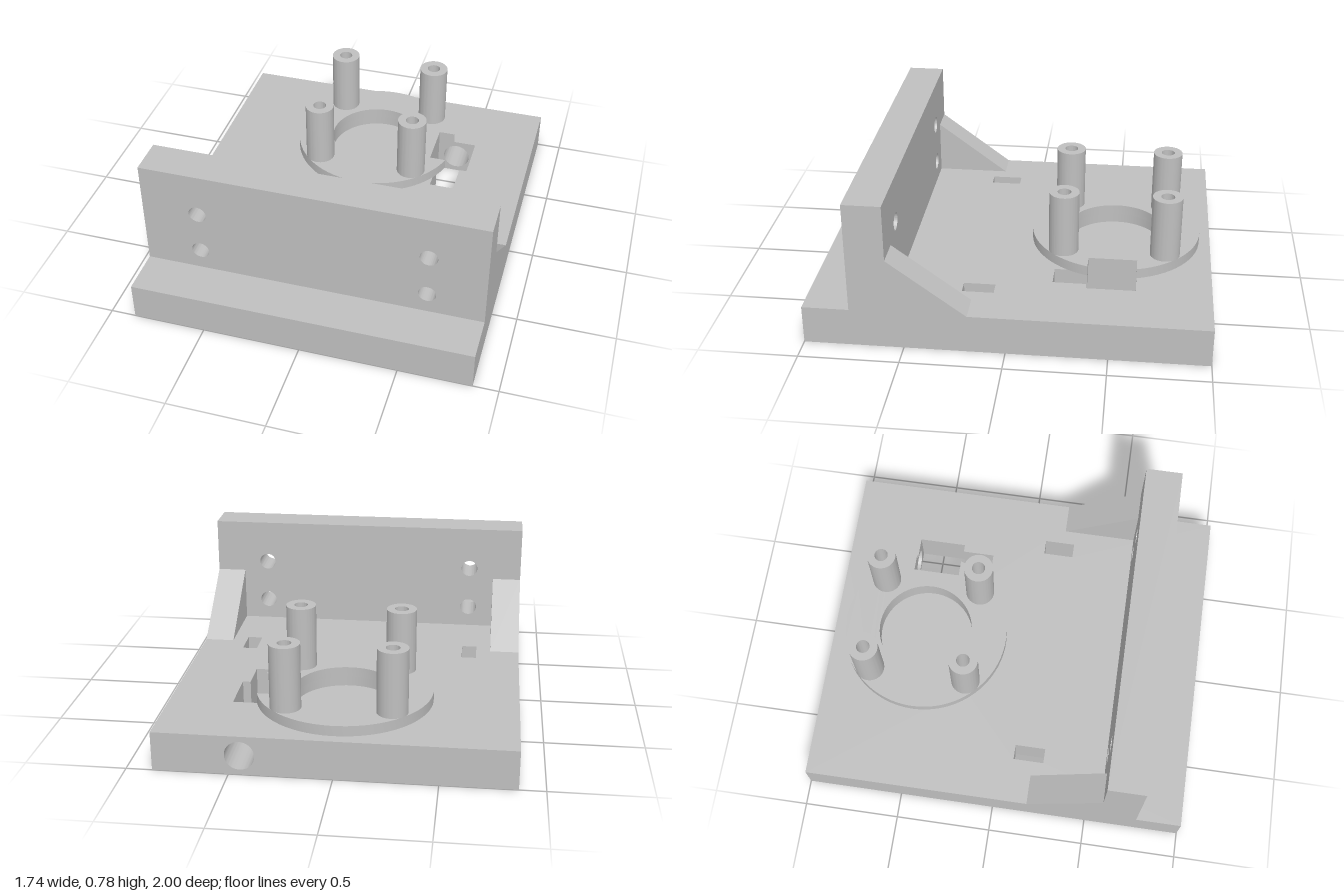
import * as THREE from 'three';
import { toCreasedNormals } from 'three/addons/utils/BufferGeometryUtils.js';

const grey = new THREE.MeshStandardMaterial({ color: 0xbfbfbf });
grey.name = 'plain grey';

const W = 0.872;          // half width
const T = 0.2;            // base thickness
const CZ = -0.4975;       // centre of the mounting ring
const POSTS = [[-0.26, CZ - 0.262], [0.26, CZ - 0.262], [-0.26, CZ + 0.262], [0.26, CZ + 0.262]];

const polygon = (pts) => new THREE.Shape(pts.map(([x, y]) => new THREE.Vector2(x, y)));
const rect = (x0, y0, x1, y1) => polygon([[x0, y0], [x1, y0], [x1, y1], [x0, y1]]);
const disc = (x, y, r) => new THREE.Shape().absarc(x, y, r, 0, Math.PI * 2, false);

function extrude(shape, holes, depth) {
  shape.holes.push(...holes);
  const geo = new THREE.ExtrudeGeometry(shape, { depth, bevelEnabled: false, curveSegments: 32 });
  return toCreasedNormals(geo, 0.5);
}

// Horizontal slab: the shape is drawn in (x, z) and runs from y0 up to y1
function slab(shape, holes, y0, y1) {
  return extrude(shape, holes, y1 - y0).rotateX(Math.PI / 2).translate(0, y1, 0);
}

export function createModel() {
  const model = new THREE.Group();
  const add = (name, geo) => {
    const mesh = new THREE.Mesh(geo, grey);
    mesh.name = name;
    model.add(mesh);
  };
  const postHoles = () => POSTS.map(([x, z]) => disc(x, z, 0.035));

  // Base plate, with a stepped cut-out that is closed at the back by the bored block
  const outline = polygon([
    [-W, -1], [0.34, -1], [0.34, -0.37], [0.38, -0.37], [0.38, -0.2],
    [0.51, -0.2], [0.51, -0.37], [0.55, -0.37], [0.55, -1], [W, -1], [W, 1], [-W, 1],
  ]);
  const slots = [-1, 1].map((s) => rect(s * 0.603 - 0.039, 0.083, s * 0.603 + 0.039, 0.243));
  add('basePlate', slab(outline, [disc(0, CZ, 0.253), ...slots, ...postHoles()], 0, T));

  // Block with the horizontal cable bore
  add('boredBlock', extrude(rect(0.34, 0, 0.55, T), [disc(0.445, 0.1, 0.073)], 0.38).translate(0, 0, -1));

  // Stepped seat: wide recess above, narrower blind bore below
  const seat = [[0, 0.13], [0.19, 0.13], [0.19, 0], [0.253, 0], [0.253, 0.15], [0, 0.15]];
  const seatGeo = new THREE.LatheGeometry(seat.map(([r, y]) => new THREE.Vector2(r, y)), 64);
  add('recessSeat', toCreasedNormals(seatGeo, 0.5).translate(0, 0, CZ));

  // Raised ring, notched where the wide cut-out passes
  const R = 0.445;
  const start = Math.asin((-0.37 - CZ) / R);
  const end = Math.asin((-0.62 - CZ) / R) + Math.PI * 2;
  const ring = new THREE.Shape();
  ring.absarc(0, CZ, R, start, end, false);
  ring.lineTo(0.34, -0.62);
  ring.lineTo(0.34, -0.37);
  ring.closePath();
  add('mountingRing', slab(ring, [disc(0, CZ, 0.253), ...postHoles()], T, 0.253));

  // Hollow standoff posts
  for (const [x, z] of POSTS) {
    add('standoffPost', slab(disc(x, z, 0.077), [disc(x, z, 0.035)], 0.253, 0.587));
  }

  // Upright wall with four bolt holes
  const boltHoles = [];
  for (const x of [-0.583, 0.583]) {
    for (const y of [0.313, 0.545]) boltHoles.push(disc(x, y, 0.045));
  }
  add('uprightWall', extrude(rect(-W, T, W, 0.777), boltHoles, 0.192).translate(0, 0, 0.573));

  // Sloped gussets at both ends of the wall
  for (const x of [W, -0.718]) {
    const profile = polygon([[0.185, T], [0.573, T], [0.573, 0.487]]);
    add('gusset', extrude(profile, [], 0.154).rotateY(-Math.PI / 2).translate(x, 0, 0));
  }

  return model;
}
